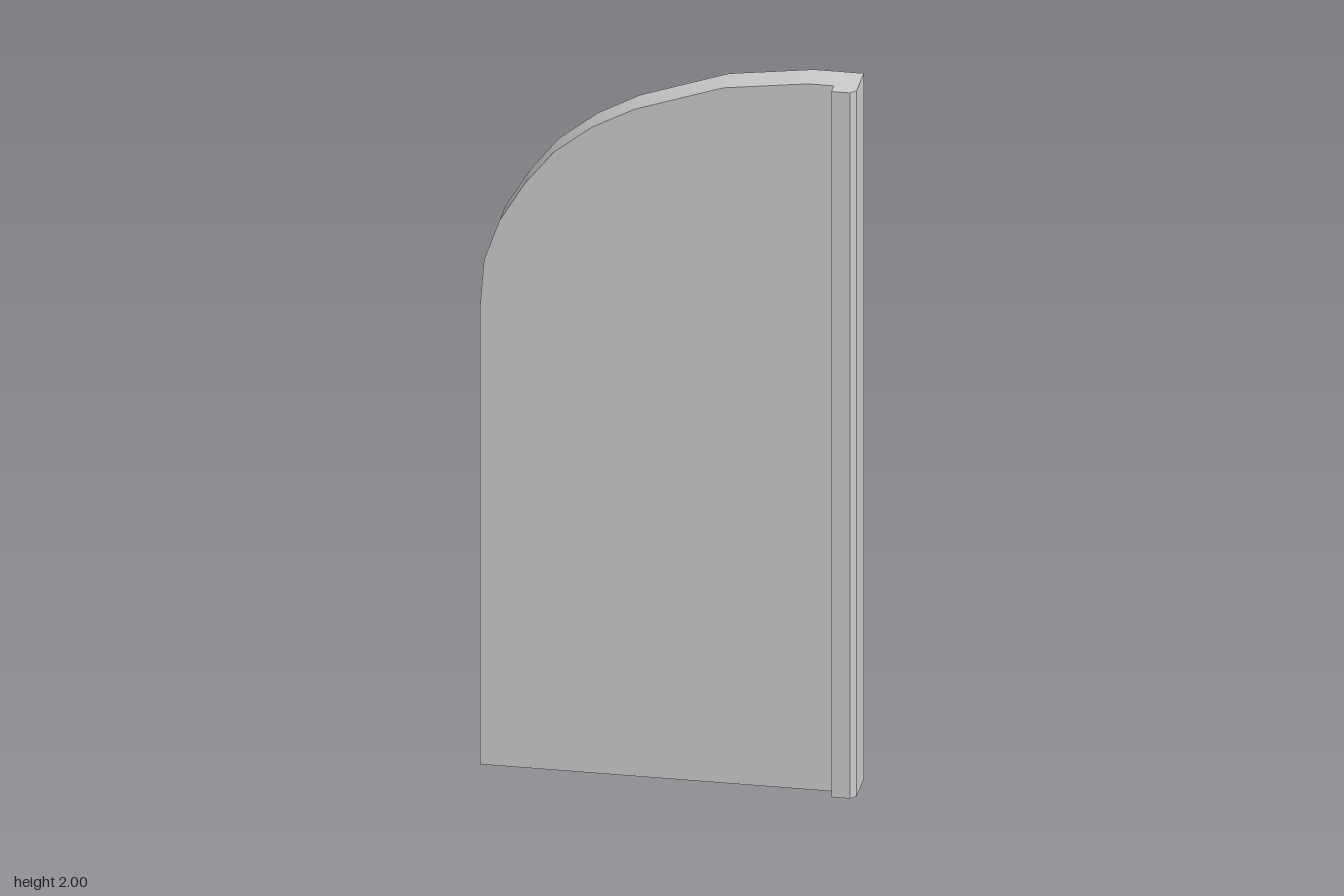
import * as THREE from 'three';
import { toCreasedNormals } from 'three/addons/utils/BufferGeometryUtils.js';

const HALF_WIDTH = 0.49, HEIGHT = 2, BACK = -0.06, PANEL_FRONT = 0.026, FRONT = 0.06;

function shapeOf(points) {
  return new THREE.Shape(points.map(([x, y]) => new THREE.Vector2(x, y)));
}

function part(name, geometry) {
  const material = new THREE.MeshStandardMaterial({ color: 0xcccccc });
  const mesh = new THREE.Mesh(toCreasedNormals(geometry, 0.5), material);
  mesh.name = name;
  return mesh;
}

export function createModel() {
  const group = new THREE.Group();
  group.name = 'archedDoorLeaf';

  // Door panel: half of an arch, rising towards the meeting edge
  const outline = shapeOf([
    [-HALF_WIDTH, 0], [HALF_WIDTH, 0], [HALF_WIDTH, HEIGHT], [0.36, HEIGHT],
    [0.14, 1.97], [-0.09, 1.89], [-0.2, 1.83], [-0.3, 1.75], [-0.375, 1.655],
    [-0.44, 1.545], [-0.48, 1.43], [-HALF_WIDTH, 1.3],
  ]);
  const panel = new THREE.ExtrudeGeometry(outline, { depth: PANEL_FRONT - BACK, bevelEnabled: false });
  panel.translate(0, 0, BACK);
  group.add(part('doorPanel', panel));

  // Cover strip along the meeting edge, with its outer corner chamfered (plan drawn as x, -z)
  const plan = shapeOf([
    [0.427, -PANEL_FRONT], [0.427, -FRONT], [0.475, -FRONT],
    [HALF_WIDTH, -0.044], [HALF_WIDTH, -PANEL_FRONT],
  ]);
  const strip = new THREE.ExtrudeGeometry(plan, { depth: HEIGHT, bevelEnabled: false });
  strip.rotateX(-Math.PI / 2);
  group.add(part('coverStrip', strip));

  return group;
}
